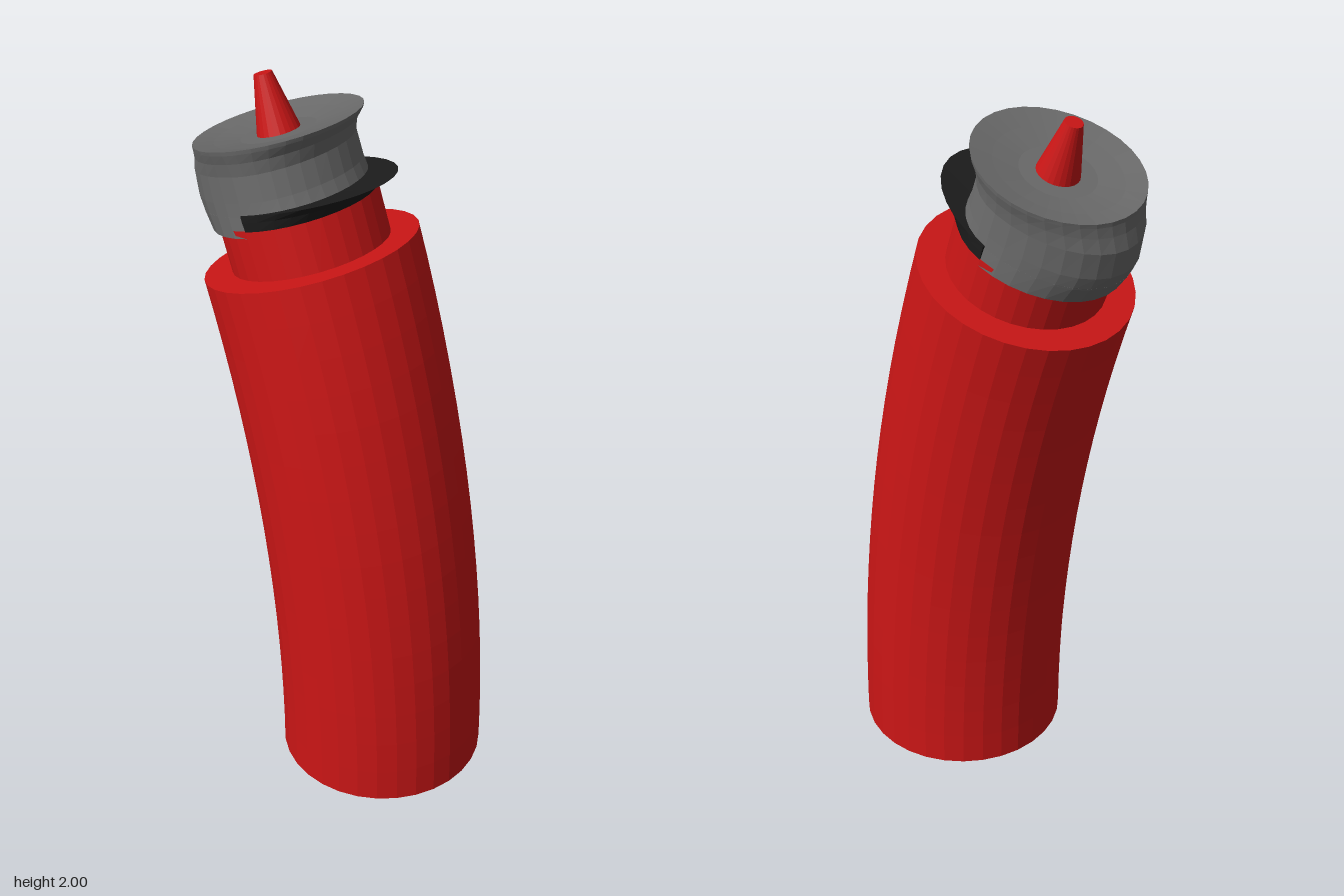
import * as THREE from 'three';

const RED = 0xcc1616, GREY = 0x6b6b6b, BLACK = 0x1c1c1c;
const SIDES = 32;

function part(name, geometry, color) {
  const mesh = new THREE.Mesh(geometry, new THREE.MeshStandardMaterial({ color, flatShading: true }));
  mesh.name = name;
  return mesh;
}

// Stacks rings [height, left radius, right radius, depth radius], from bottom to top
function loft(levels) {
  const pos = [], index = [];
  for (const [h, left, right, depth] of levels) {
    for (let i = 0; i < SIDES; i++) {
      const a = (i / SIDES) * Math.PI * 2, c = Math.cos(a);
      pos.push(c * (c > 0 ? right : left), h, Math.sin(a) * depth);
    }
  }
  for (let j = 0; j < levels.length - 1; j++) {
    for (let i = 0; i < SIDES; i++) {
      const k = (i + 1) % SIDES;
      const a = j * SIDES + i, b = j * SIDES + k, c = a + SIDES, d = b + SIDES;
      index.push(a, c, b, b, c, d);
    }
  }
  const g = new THREE.BufferGeometry();
  g.setAttribute('position', new THREE.Float32BufferAttribute(pos, 3));
  g.setIndex(index);
  g.computeVertexNormals();
  return g;
}

// Cylinder bent along a circular arc towards -x
function bentCylinder(radius, bendRadius, angle, baseX) {
  const length = bendRadius * angle;
  const g = new THREE.CylinderGeometry(radius, radius, length, SIDES, 16);
  g.translate(0, length / 2, 0);
  const p = g.attributes.position;
  for (let i = 0; i < p.count; i++) {
    const r = bendRadius + p.getX(i), t = p.getY(i) / bendRadius;
    p.setXY(i, baseX - bendRadius + r * Math.cos(t), r * Math.sin(t));
  }
  g.computeVertexNormals();
  return g;
}

export function createModel() {
  const model = new THREE.Group();
  model.name = 'bentBottle';
  const tilt = THREE.MathUtils.degToRad(18.3), bend = 4.9, baseX = 0.147;
  model.add(part('body', bentCylinder(0.288, bend, tilt, baseX), RED));

  // Everything above the body follows its tilted end
  const top = new THREE.Group();
  top.name = 'top';
  top.position.set(baseX - bend * (1 - Math.cos(tilt)), bend * Math.sin(tilt), 0);
  top.rotation.z = tilt;
  model.add(top);

  const neck = part('neck', new THREE.CylinderGeometry(0.212, 0.212, 0.15, SIDES), RED);
  neck.position.y = 0.06;
  top.add(neck);

  // Half-round lip that flares out on the right
  top.add(part('lip', loft([
    [0.133, 0, 0, 0],
    [0.133, 0, 0.212, 0.212],
    [0.158, 0, 0.245, 0.214],
    [0.176, 0, 0.305, 0.214],
    [0.17, 0, 0.18, 0.16],
    [0.17, 0, 0, 0],
  ]), BLACK));

  // Lower half of the cap, on the left only
  top.add(part('capSkirt', loft([
    [0.125, 0, 0, 0],
    [0.115, 0.245, 0, 0.212],
    [0.17, 0.264, 0, 0.208],
    [0.17, 0, 0, 0],
  ]), GREY));

  // Cap with a bulge on the left, a waist on the right and a dished top
  top.add(part('cap', loft([
    [0.165, 0.263, 0.188, 0.208],
    [0.205, 0.27, 0.181, 0.206],
    [0.275, 0.26, 0.181, 0.204],
    [0.31, 0.238, 0.198, 0.21],
    [0.335, 0.226, 0.226, 0.218],
    [0.346, 0.223, 0.234, 0.22],
    [0.335, 0.17, 0.17, 0.165],
    [0.325, 0.1, 0.1, 0.1],
    [0.325, 0, 0, 0],
  ]), GREY));

  const nozzle = part('nozzle', new THREE.CylinderGeometry(0.024, 0.059, 0.16, 24), RED);
  nozzle.position.y = 0.396;
  top.add(nozzle);

  return model;
}
